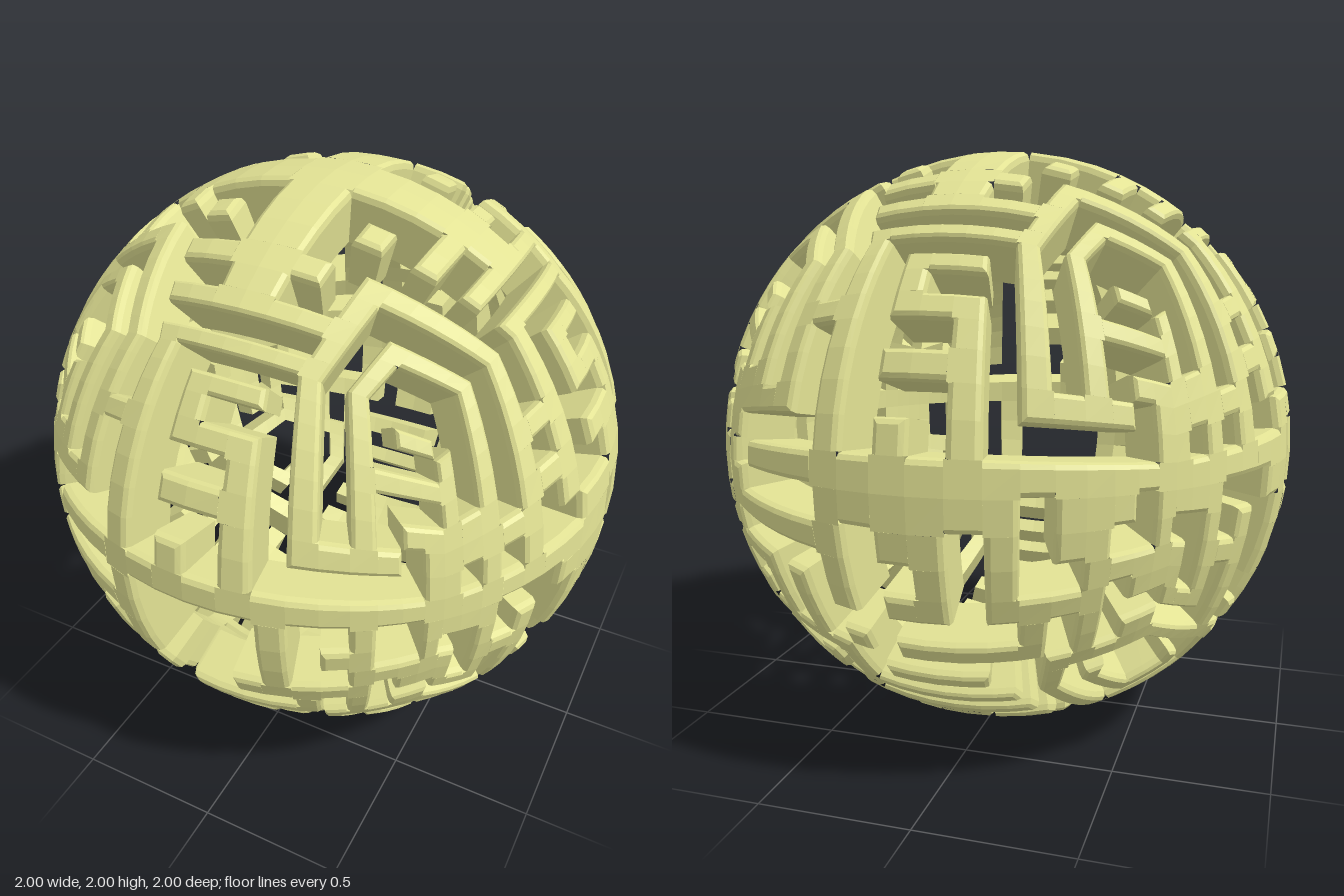
import * as THREE from 'three';

// Hollow ball made of six maze panels: a cube grid pushed out onto a sphere.
const HALF = 9; // cells from panel centre to panel edge

// Quarter of the pole panels, turned four times about the pole
const poleQuarter = [
  '#######.#',
  '#...#.#.#',
  '#.#.#.#.#',
  '#........',
  '##.######',
  '#..#.....',
  '####.####',
  '...#.#...',
  '####.#...',
];

// Upper and lower rows shared by the four side panels
const sideTop = [
  '..#.#.#.....#.#...',
  '..#.#.#.###.#.#.##',
  '#.#.#.#.#...#.#...',
  '#.#.###.###.#.####',
  '#.#.#.#...#.#.#...',
];
const sideBottom = [
  '######.......#####',
  '.....#.####..#....',
  '...#.#.......#.#..',
];

const frontRows = [
  ...sideTop,
  '###.#.#.###.#.#.##',
  '#####.#...#.####.#',
  '#.....#.#.#......#',
  '..################',
  '#.....#....#..#..#',
  '#######....#.##..#',
  '......#....#..####',
  '###.#.#...#####.##',
  '..#.#.......#.#...',
  '#.#.#.#.#####.#.##',
  ...sideBottom,
];

const leftRows = [
  ...sideTop,
  '###.###.###.####.#',
  '#####.#..##.#....#',
  '#.#.#..####..#.#.#',
  '#########.########',
  '###...###.####.#.#',
  '..#.#..####.#..###',
  '#.###..#....###..#',
  '#.#.#..#######.#.#',
  '###.#...##...#.#..',
  '....#.#.###..#.#.#',
  ...sideBottom,
];

// The opposite panels differ only around their middle rows
const swapRows = (rows, start, fresh) =>
  [...rows.slice(0, start), ...fresh, ...rows.slice(start + fresh.length)];

const backRows = swapRows(frontRows, 9, [
  '#.....######.###.#',
  '#######.##.#.##..#',
  '......#..#.#..####',
  '###.#.#.##.####.##',
]);

const rightRows = swapRows(leftRows, 8, [
  '########.#########',
  '###...##.#####.#.#',
]);

const fromRows = rows => (i, j) => rows[HALF - 1 - j][i + HALF] === '#';
const fold = k => (k < 0 ? -1 - k : k);
const pole = (i, j) => {
  const a = fold(i), b = fold(j);
  return ((i < 0) === (j < 0) ? poleQuarter[a][b] : poleQuarter[b][a]) === '#';
};

const vec = (x, y, z) => new THREE.Vector3(x, y, z);
const panel = (name, n, u, v, mask) => ({ name, n, u, v, mask });
const X = vec(1, 0, 0), Y = vec(0, 1, 0), Z = vec(0, 0, 1);
const nX = vec(-1, 0, 0), nY = vec(0, -1, 0), nZ = vec(0, 0, -1);

const panels = [
  panel('frontMaze', Z, X, Y, fromRows(frontRows)),
  panel('backMaze', nZ, nX, Y, fromRows(backRows)),
  panel('leftMaze', X, nZ, Y, fromRows(leftRows)),
  panel('rightMaze', nX, Z, Y, fromRows(rightRows)),
  panel('topMaze', Y, X, nZ, pole),
  panel('bottomMaze', nY, X, Z, pole),
];

// Point on the panel's cube face, in cell units
const cubePoint = (p, i, j) => p.n.clone()
  .addScaledVector(p.u, i / HALF).addScaledVector(p.v, j / HALF);

// Is a cell solid? Cells past the edge are looked up on the neighbouring panel.
function solid(p, i, j) {
  if (i >= -HALF && i < HALF && j >= -HALF && j < HALF) return p.mask(i, j);
  const c = cubePoint(p, i + 0.5, j + 0.5);
  const q = panels.reduce((a, b) => (c.dot(b.n) > c.dot(a.n) ? b : a));
  const d = c.dot(q.n);
  return q.mask(Math.floor(c.dot(q.u) / d * HALF), Math.floor(c.dot(q.v) / d * HALF));
}

// Wall profile from rounded rim to inner surface: [inset in cells, radius]
const profile = [[0.2, 1], [0.06, 0.992], [0, 0.974], [0, 0.82]];
const sides = [[0, -1], [1, 0], [0, 1], [-1, 0]];

function mazeGeometry(p) {
  const pos = [];
  const quad = (a, b, c, d) => {
    for (const k of [a, b, c, a, c, d]) pos.push(k.x, k.y, k.z);
  };
  for (let i = -HALF; i < HALF; i++) {
    for (let j = -HALF; j < HALF; j++) {
      if (!solid(p, i, j)) continue;
      const open = sides.map(([di, dj]) => (solid(p, i + di, j + dj) ? 0 : 1));
      const rings = profile.map(([s, r]) => {
        const x0 = i + s * open[3], x1 = i + 1 - s * open[1];
        const y0 = j + s * open[0], y1 = j + 1 - s * open[2];
        return [[x0, y0], [x1, y0], [x1, y1], [x0, y1]]
          .map(([x, y]) => cubePoint(p, x, y).setLength(r).add(Y));
      });
      // outer skin and inner skin
      quad(...rings[0]);
      quad(...rings[rings.length - 1].slice().reverse());
      // rounded rim and radial wall on every exposed side
      for (let m = 0; m < 4; m++) {
        if (!open[m]) continue;
        const n = (m + 1) % 4;
        for (let k = 0; k + 1 < rings.length; k++) {
          quad(rings[k + 1][m], rings[k + 1][n], rings[k][n], rings[k][m]);
        }
      }
    }
  }
  const g = new THREE.BufferGeometry();
  g.setAttribute('position', new THREE.Float32BufferAttribute(pos, 3));
  g.computeVertexNormals();
  return g;
}

export function createModel() {
  const group = new THREE.Group();
  group.name = 'mazeBall';
  const material = new THREE.MeshStandardMaterial({ color: 0xe2e294 });
  for (const p of panels) {
    const mesh = new THREE.Mesh(mazeGeometry(p), material);
    mesh.name = p.name;
    group.add(mesh);
  }
  return group;
}
